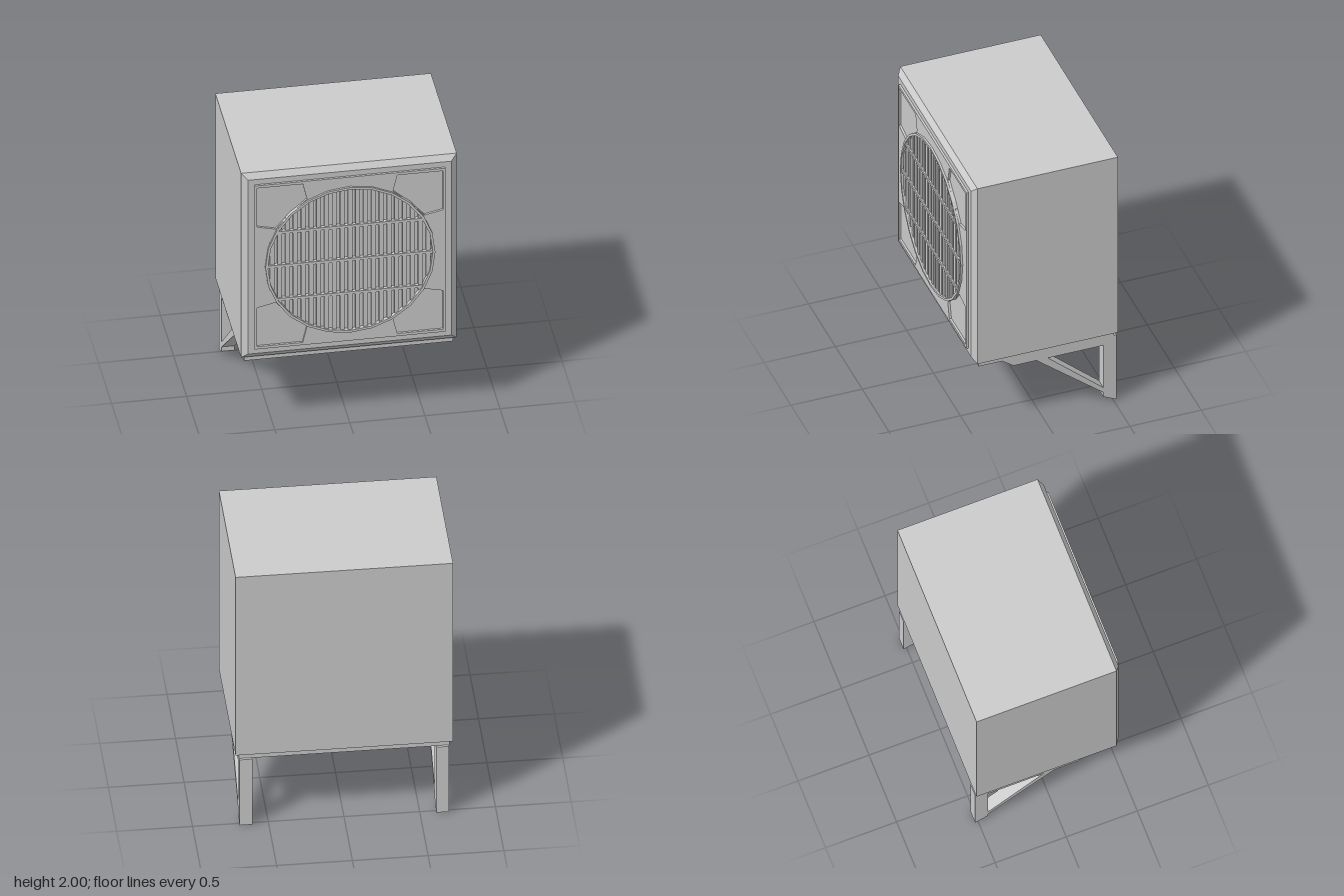
import * as THREE from 'three';

const CY = 1.283; // fan centre height
const DEG = Math.PI / 180;

export function createModel() {
  const model = new THREE.Group();
  const material = new THREE.MeshStandardMaterial({ color: 0xcccccc, flatShading: true });

  const add = (name, geometry, x = 0, y = 0, z = 0) => {
    const mesh = new THREE.Mesh(geometry, material);
    mesh.name = name;
    mesh.position.set(x, y, z);
    model.add(mesh);
    return mesh;
  };
  const box = (name, w, h, d, x, y, z) => add(name, new THREE.BoxGeometry(w, h, d), x, y, z);
  const polar = (r, deg) => new THREE.Vector2(r * Math.cos(deg * DEG), r * Math.sin(deg * DEG));
  const polygon = (r) => Array.from({ length: 24 }, (_, i) => polar(r, i * 15));
  const extrude = (shape, depth) => new THREE.ExtrudeGeometry(shape, { depth, bevelEnabled: false });

  // Cabinet with a chamfered front rim
  const cabinet = new THREE.BoxGeometry(1.436, 1.435, 1.015, 1, 1, 2);
  const p = cabinet.attributes.position;
  for (let i = 0; i < p.count; i++) {
    const z = p.getZ(i);
    if (z > 0.1) {
      p.setX(i, p.getX(i) - Math.sign(p.getX(i)) * 0.04);
      p.setY(i, p.getY(i) - Math.sign(p.getY(i)) * 0.04);
    }
    p.setZ(i, z > 0.1 ? 0.493 : z < -0.1 ? -0.522 : 0.463);
  }
  const faceted = cabinet.toNonIndexed();
  faceted.computeVertexNormals();
  add('cabinet', faceted, 0, 1.2825, 0);

  // Front panel with a fan opening and four sunken corners
  const panel = new THREE.Shape([[-1, -1], [1, -1], [1, 1], [-1, 1]]
    .map(([x, y]) => new THREE.Vector2(x * 0.635, y * 0.637)));
  panel.holes.push(new THREE.Path(polygon(0.55)));
  for (const sx of [-1, 1]) for (const sy of [-1, 1]) {
    const corner = [[0.62, 0.617], [0.315, 0.617]].map(([x, y]) => new THREE.Vector2(x, y));
    corner.push(polar(0.573, 60), polar(0.562, 45), polar(0.573, 30), new THREE.Vector2(0.62, 0.315));
    panel.holes.push(new THREE.Path(corner.map((v) => new THREE.Vector2(v.x * sx, v.y * sy))));
  }
  add('frontPanel', extrude(panel, 0.018), 0, CY, 0.49);

  // Fan ring
  const ring = new THREE.Shape(polygon(0.566));
  ring.holes.push(new THREE.Path(polygon(0.549)));
  add('fanRing', extrude(ring, 0.031), 0, CY, 0.491);

  // Vertical slats trimmed to the ring, crossed by three bars
  for (let i = -10; i <= 10; i++) {
    const x = i * 0.052;
    box('grilleSlat', 0.03, 2 * Math.sqrt(0.552 ** 2 - x * x), 0.02, x, CY, 0.5);
  }
  for (const dy of [-0.26, 0, 0.26]) {
    box('grilleBar', 2 * Math.sqrt(0.552 ** 2 - dy * dy), 0.02, 0.026, 0, CY + dy, 0.505);
  }

  // Base tray
  box('baseTray', 1.39, 0.042, 0.95, 0, 0.546, -0.03);

  // Side brackets: rail, post and diagonal brace in one profile (z, y)
  const bracket = new THREE.Shape([
    [-0.522, 0], [-0.43, 0.045], [-0.43, 0.08], [0.04, 0.465],
    [0.2, 0.465], [0.285, 0.527], [-0.522, 0.527],
  ].map(([z, y]) => new THREE.Vector2(z, y)));
  bracket.holes.push(new THREE.Path([[-0.04, 0.465], [-0.43, 0.465], [-0.43, 0.12]]
    .map(([z, y]) => new THREE.Vector2(z, y))));
  for (const [name, x] of [['leftBracket', 0.692], ['rightBracket', -0.607]]) {
    add(name, extrude(bracket, 0.085), x).rotation.y = -Math.PI / 2;
  }

  return model;
}
